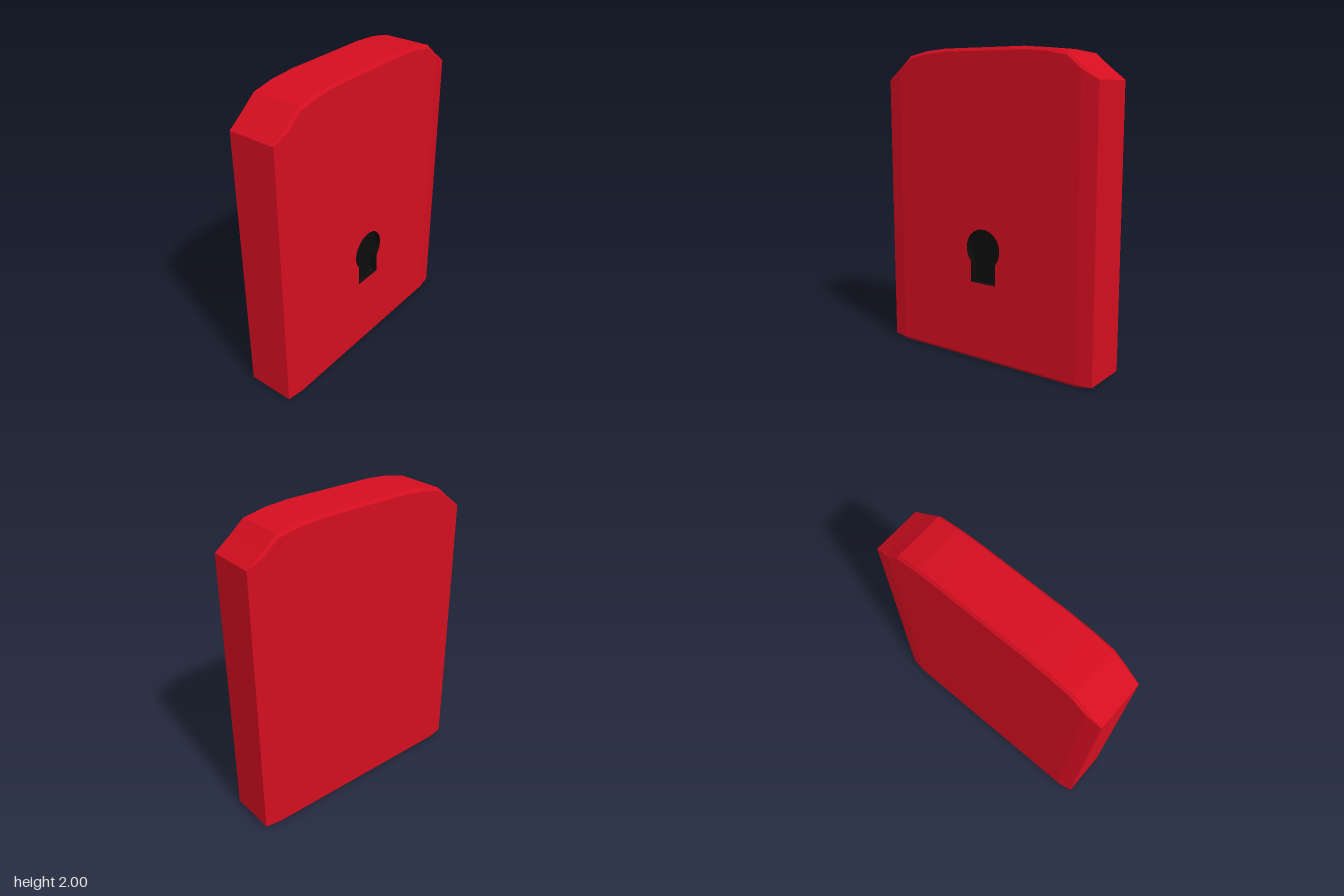
import * as THREE from 'three';

const EDGE = 0.157, FACE = 0.173, CHAMFER = 0.02, DEPTH = 0.05;

// Flat-shaded geometry from a list of four-cornered faces
function quadGeometry(quads) {
  const pos = [];
  for (const [a, b, c, d] of quads) pos.push(...a, ...b, ...c, ...a, ...c, ...d);
  const g = new THREE.BufferGeometry();
  g.setAttribute('position', new THREE.Float32BufferAttribute(pos, 3));
  g.computeVertexNormals();
  return g;
}

// Cross-section of the slab at depth z, counter-clockwise seen from +z
function section(z, bottom, top, side, chamfer) {
  return [
    [-EDGE, bottom, z], [EDGE, bottom, z],
    [side, bottom + chamfer, z], [side, top - chamfer, z],
    [EDGE, top, z], [-EDGE, top, z],
    [-side, top - chamfer, z], [-side, bottom + chamfer, z],
  ];
}

export function createModel() {
  const model = new THREE.Group();
  model.name = 'lockPlate';
  const red = new THREE.MeshStandardMaterial({ color: 0xd40e20, flatShading: true });
  const black = new THREE.MeshStandardMaterial({ color: 0x0c0c0c, flatShading: true });
  const add = (parent, name, geometry, material) => {
    const mesh = new THREE.Mesh(geometry, material);
    mesh.name = name;
    parent.add(mesh);
    return mesh;
  };

  // Arched slab: half profile [z, bottom, top, side, chamfer], mirrored in z
  const half = [
    [0.795, 0.02, 1.805, EDGE, 0],
    [0.69, 0, 1.885, FACE, CHAMFER],
    [0.6, 0, 1.96, FACE, CHAMFER],
    [0.46, 0, 1.988, FACE, CHAMFER],
    [0.3, 0, 2, FACE, CHAMFER],
  ];
  const stations = [...half.map(([z, ...r]) => [-z, ...r]), ...half.slice().reverse()];
  const rings = stations.map((s) => section(...s));
  const last = rings.length - 1;
  const quads = [];
  for (let k = 0; k < last; k++) {
    const a = rings[k], b = rings[k + 1];
    for (let i = 0; i < 8; i++) {
      // The flat +x side is made separately, with the keyhole cut out
      if (i === 2 && k > 0 && k < last - 1) continue;
      const j = (i + 1) % 8;
      quads.push([a[i], a[j], b[j], b[i]]);
    }
  }
  // End walls
  const [back, front] = [rings[0], rings[last]];
  quads.push([front[0], front[1], front[4], front[5]]);
  quads.push([back[1], back[0], back[5], back[4]]);
  add(model, 'slab', quadGeometry(quads), red);

  // Keyhole outline: straight stem below a round head
  const radius = 0.13, stem = 0.097, headY = 0.745, steps = 32;
  const open = Math.acos(stem / radius);
  const keyhole = [new THREE.Vector2(-stem, 0.52), new THREE.Vector2(stem, 0.52)];
  for (let i = 0; i <= steps; i++) {
    const t = -open + (Math.PI + 2 * open) * (i / steps);
    keyhole.push(new THREE.Vector2(radius * Math.cos(t), headY + radius * Math.sin(t)));
  }

  // Group whose local +z points along +x
  const side = new THREE.Group();
  side.name = 'keyholeSide';
  side.rotation.y = Math.PI / 2;
  side.position.x = FACE;
  model.add(side);

  // Flat face with the keyhole cut out
  const flat = rings.slice(1, last);
  const outline = [
    ...flat.map((r) => new THREE.Vector2(-r[3][2], r[3][1])),
    ...flat.slice().reverse().map((r) => new THREE.Vector2(-r[2][2], r[2][1])),
  ];
  const faceShape = new THREE.Shape(outline);
  faceShape.holes.push(new THREE.Path(keyhole));
  add(side, 'keyholeFace', new THREE.ShapeGeometry(faceShape), red);

  // Shallow black recess
  const walls = keyhole.map((p, i) => {
    const q = keyhole[(i + 1) % keyhole.length];
    return [[p.x, p.y, 0], [q.x, q.y, 0], [q.x, q.y, -DEPTH], [p.x, p.y, -DEPTH]];
  });
  add(side, 'keyholeWalls', quadGeometry(walls), black);
  add(side, 'keyholeFloor', new THREE.ShapeGeometry(new THREE.Shape(keyhole)), black).position.z = -DEPTH;

  return model;
}
